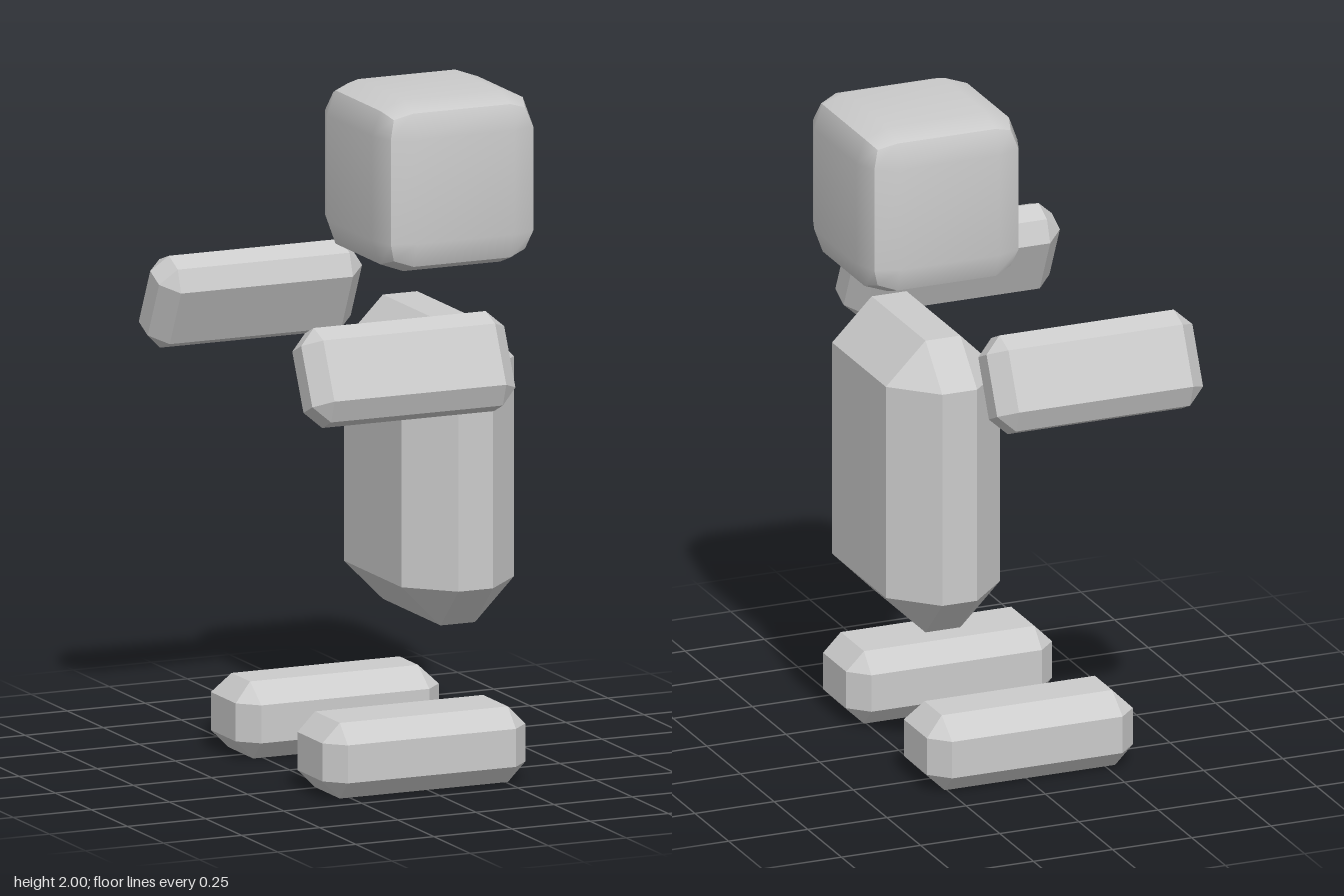
import * as THREE from 'three';
import { ConvexGeometry } from 'three/addons/geometries/ConvexGeometry.js';

const material = new THREE.MeshStandardMaterial({ color: 0xcccccc });

function addPart(group, name, geometry, position, tilt = 0) {
  const mesh = new THREE.Mesh(geometry, material);
  mesh.name = name;
  mesh.position.set(...position);
  mesh.rotation.x = THREE.MathUtils.degToRad(tilt);
  group.add(mesh);
}

// Box with every edge and corner cut by c; topInset narrows the top face in z
function chamferedBox(w, h, d, c, topInset = 0) {
  const points = [];
  const [x, y, z] = [w / 2, h / 2, d / 2];
  for (const sx of [-1, 1]) for (const sy of [-1, 1]) for (const sz of [-1, 1]) {
    const inset = sy > 0 ? topInset : 0;
    points.push(
      new THREE.Vector3(sx * x, sy * (y - c), sz * (z - c)),
      new THREE.Vector3(sx * (x - c), sy * y, sz * (z - c - inset)),
      new THREE.Vector3(sx * (x - c), sy * (y - c), sz * z)
    );
  }
  return new ConvexGeometry(points);
}

// Cube with softly bulged faces; normals are smooth inside each face only
function bulgedCube() {
  const geometry = new THREE.BoxGeometry(2, 2, 2, 3, 3, 3);
  const pos = geometry.attributes.position;
  const reach = [0, 0.255, 0.228, 0.21]; // face, edge and corner vertices
  for (let i = 0; i < pos.count; i++) {
    const p = [pos.getX(i), pos.getY(i), pos.getZ(i)];
    const outer = p.filter((v) => Math.abs(v) > 0.9).length;
    pos.setXYZ(i, ...p.map((v) => Math.sign(v) * (Math.abs(v) > 0.9 ? reach[outer] : 0.155)));
  }
  geometry.computeVertexNormals();
  return geometry;
}

export function createModel() {
  const model = new THREE.Group();
  model.name = 'blockFigure';

  addPart(model, 'head', bulgedCube(), [0.193, 1.745, 0.008]);
  addPart(model, 'torso', chamferedBox(0.36, 0.905, 0.65, 0.125), [0.195, 0.887, 0.002]);

  // Floating arms, tilted outwards at the bottom
  const arm = chamferedBox(0.65, 0.284, 0.168, 0.05);
  addPart(model, 'frontArm', arm, [-0.13, 1.286, 0.532], -25);
  addPart(model, 'backArm', arm, [-0.13, 1.302, -0.531], 25.5);

  // Floating feet
  addPart(model, 'frontFoot', chamferedBox(0.65, 0.225, 0.284, 0.056), [-0.012, 0.113, 0.329]);
  addPart(model, 'backFoot', chamferedBox(0.65, 0.225, 0.284, 0.056, 0.022), [-0.012, 0.113, -0.271]);

  return model;
}
